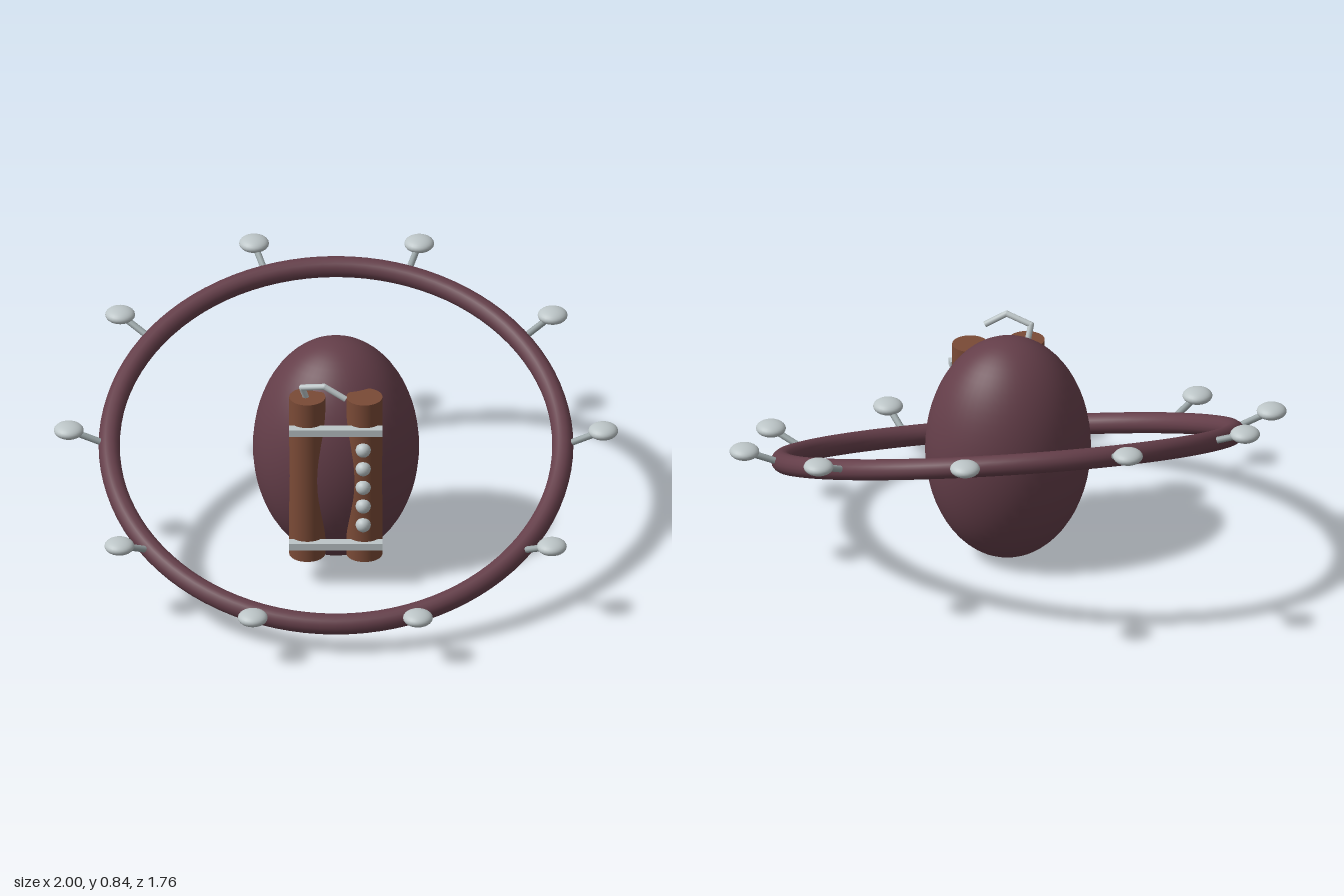
import * as THREE from 'three';

const paint = (name, color) => {
  const m = new THREE.MeshStandardMaterial({ color });
  m.name = name;
  return m;
};

export function createModel() {
  const plum = paint('plum', 0x643e49);
  const wood = paint('wood brown', 0x7a4a36);
  const silver = paint('silver', 0xbcc5c7);
  const steel = paint('steel', 0x9aa5a7);

  const model = new THREE.Group();
  model.name = 'ringedBassoonPod';

  const add = (name, geometry, material, x, y, z) => {
    const mesh = new THREE.Mesh(geometry, material);
    mesh.name = name;
    mesh.position.set(x, y, z);
    model.add(mesh);
    return mesh;
  };

  // Straight rod between two points
  const rod = (name, a, b, radius, material) => {
    const dir = b.clone().sub(a);
    const mid = a.clone().add(b).multiplyScalar(0.5);
    const geometry = new THREE.CylinderGeometry(radius, radius, dir.length(), 10);
    const mesh = add(name, geometry, material, mid.x, mid.y, mid.z);
    mesh.quaternion.setFromUnitVectors(new THREE.Vector3(0, 1, 0), dir.normalize());
  };

  const centerY = 0.423;
  const tilt = 0.4;
  const ringRadius = 0.802;

  // Egg-shaped body
  add('body', new THREE.SphereGeometry(1, 48, 32), plum, 0, centerY, 0).scale.set(0.294, 0.421, 0.268);

  // Tilted ring, lower at the front
  const ringGeometry = new THREE.TorusGeometry(ringRadius, 0.0375, 16, 96);
  ringGeometry.rotateX(Math.PI / 2 + tilt);
  add('ring', ringGeometry, plum, 0, centerY, 0);

  // Ten level key pads on stems around the ring
  const padGeometry = new THREE.SphereGeometry(0.053, 24, 16);
  padGeometry.scale(1, 0.5, 1);
  for (let i = 0; i < 10; i++) {
    const angle = (i * Math.PI) / 5;
    const c = Math.cos(angle);
    const s = Math.sin(angle);
    const y = centerY - ringRadius * Math.sin(tilt) * s;
    const foot = new THREE.Vector3(ringRadius * c, y, ringRadius * Math.cos(tilt) * s);
    const head = new THREE.Vector3(0.945 * c, y + 0.06, 0.87 * s);
    rod('padStem', foot, head, 0.012, steel);
    add('keyPad', padGeometry, silver, head.x, head.y, head.z);
  }

  // Twin wooden pipes
  for (const side of [-1, 1]) {
    add('woodPipe', new THREE.CylinderGeometry(0.064, 0.064, 0.633, 32), wood, side * 0.101, 0.418, 0.207);
  }

  // Cross bars joining the pipes
  for (const y of [0.17, 0.63]) {
    add('crossBar', new THREE.BoxGeometry(0.33, 0.026, 0.036), silver, 0, y, 0.269);
  }

  // Row of buttons on the left pipe
  for (let i = 0; i < 5; i++) {
    add('button', new THREE.SphereGeometry(0.027, 20, 14), silver, 0.097, 0.252 + i * 0.0755, 0.27);
  }

  // Bent mouthpiece tube rising from the right pipe
  const bends = [
    [-0.105, 0.73, 0.205],
    [-0.12, 0.782, 0.225],
    [-0.04, 0.81, 0.27],
    [0.035, 0.767, 0.283],
  ].map((p) => new THREE.Vector3(...p));
  for (let i = 0; i < 3; i++) {
    rod('mouthTube', bends[i], bends[i + 1], 0.011, silver);
    if (i > 0) add('mouthTubeBend', new THREE.SphereGeometry(0.011, 12, 8), silver, ...bends[i].toArray());
  }

  return model;
}
